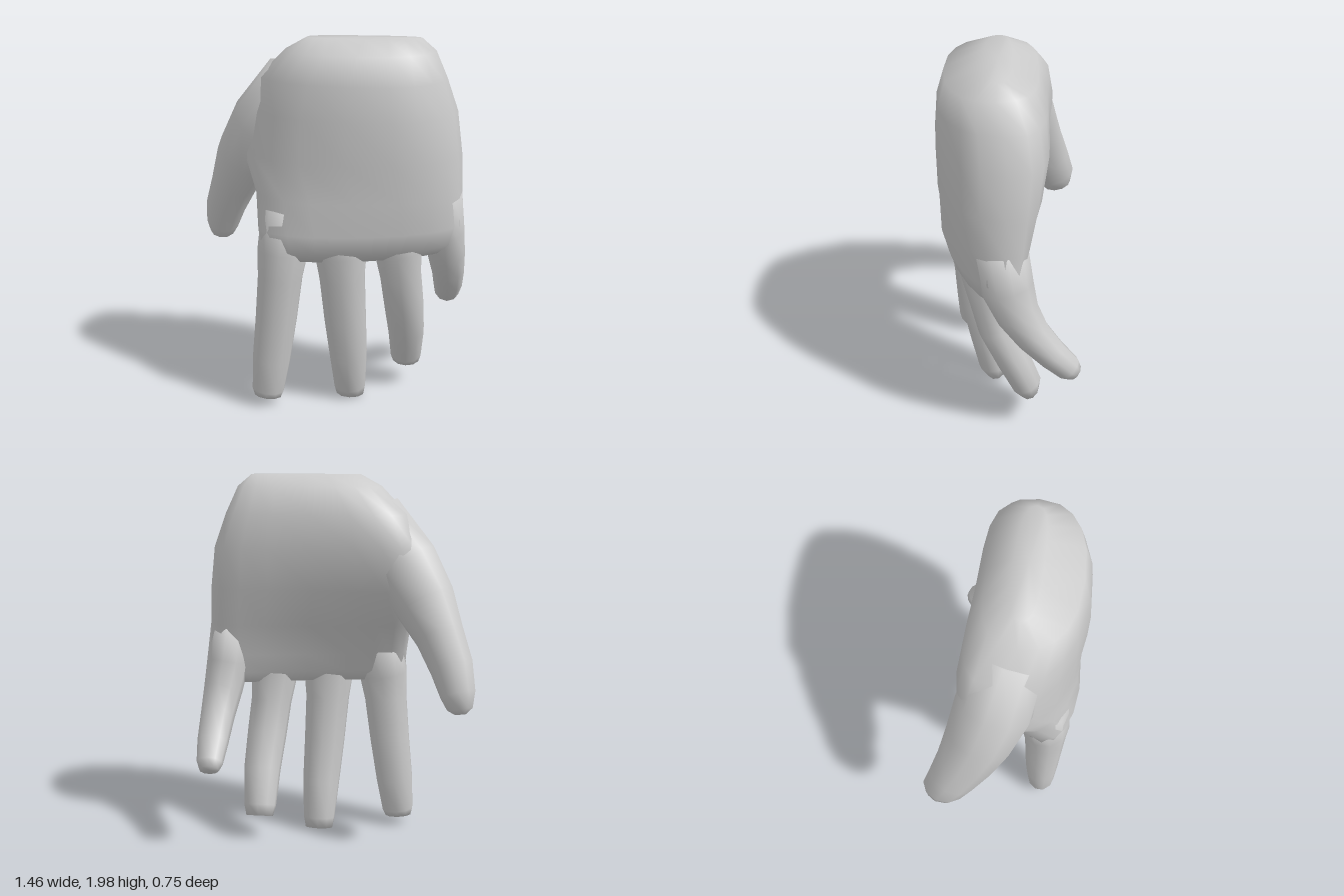
import * as THREE from 'three';

const material = new THREE.MeshStandardMaterial({ color: 0xcccccc });

// Skin a list of equal-sized rings and close both ends.
function loft(name, rings) {
  const n = rings[0].length, pos = [], idx = [];
  const add = (p) => pos.push(p.x, p.y, p.z);
  rings.forEach((r) => r.forEach(add));
  const last = (rings.length - 1) * n, start = rings.length * n, end = start + 1;
  for (const r of [rings[0], rings[rings.length - 1]]) {
    add(r.reduce((s, p) => s.add(p), new THREE.Vector3()).divideScalar(n));
  }
  for (let j = 0; j < n; j++) {
    const k = (j + 1) % n;
    for (let i = 0; i < last; i += n) {
      idx.push(i + j, i + k, i + n + j, i + k, i + n + k, i + n + j);
    }
    idx.push(start, k, j, end, last + j, last + k);
  }
  const g = new THREE.BufferGeometry();
  g.setAttribute('position', new THREE.Float32BufferAttribute(pos, 3));
  g.setIndex(idx);
  g.computeVertexNormals();
  const mesh = new THREE.Mesh(g, material);
  mesh.name = name;
  return mesh;
}

// Digit along a path; each row is x, y, z, half width, half depth.
function digit(name, rows, sides = 10) {
  const at = (i) => new THREE.Vector3(...rows[i].slice(0, 3));
  const rings = rows.map(([, , , w, d], i) => {
    const t = at(Math.min(i + 1, rows.length - 1)).sub(at(Math.max(i - 1, 0))).normalize();
    const side = new THREE.Vector3(1, 0, 0).addScaledVector(t, -t.x).normalize();
    const up = new THREE.Vector3().crossVectors(t, side);
    return Array.from({ length: sides }, (_, j) => {
      const a = ((j + 0.5) / sides) * Math.PI * 2;
      return at(i).addScaledVector(side, w * 1.04 * Math.cos(a)).addScaledVector(up, d * 1.04 * Math.sin(a));
    });
  });
  return loft(name, rings);
}

// Palm cross-section: rounded slab, tilted and bowed across its width.
function palmRing([y, xl, xr, zf, zb, tilt, bow], sides = 20) {
  const round = (v) => Math.sign(v) * Math.abs(v) ** 0.75;
  return Array.from({ length: sides }, (_, j) => {
    const a = (j / sides) * Math.PI * 2, u = round(Math.cos(a));
    const z = (zf + zb) / 2 + (zf - zb) / 2 * round(Math.sin(a)) + tilt * u - bow * u * u;
    return new THREE.Vector3((xl + xr) / 2 + (xr - xl) / 2 * u, y, z);
  });
}

export function createModel() {
  const hand = new THREE.Group();
  hand.name = 'hand';

  // Palm, from the wrist down to the knuckles: y, left x, right x, front z, back z, tilt, bow
  hand.add(loft('palm', [
    [1.99, -0.11, 0.47, 0.13, -0.01, 0, 0],
    [1.93, -0.22, 0.54, 0.32, -0.13, 0, 0.03],
    [1.79, -0.36, 0.60, 0.36, -0.18, 0.02, 0.08],
    [1.62, -0.43, 0.66, 0.375, -0.19, 0.03, 0.11],
    [1.40, -0.46, 0.69, 0.375, -0.15, 0.02, 0.11],
    [1.20, -0.38, 0.70, 0.365, -0.06, -0.04, 0.09],
    [1.03, -0.355, 0.71, 0.36, 0.02, -0.09, 0.07],
    [0.93, -0.345, 0.70, 0.33, 0.05, -0.1, 0.07],
    [0.87, -0.29, 0.63, 0.27, 0.10, -0.1, 0.06],
  ].map((row) => palmRing(row))));

  // Thumb
  hand.add(digit('thumb', [
    [-0.17, 1.76, 0.04, 0.17, 0.17],
    [-0.35, 1.52, -0.02, 0.18, 0.19],
    [-0.46, 1.34, -0.08, 0.16, 0.17],
    [-0.54, 1.18, -0.14, 0.125, 0.15],
    [-0.605, 1.03, -0.21, 0.11, 0.125],
    [-0.64, 0.90, -0.26, 0.09, 0.11],
    [-0.652, 0.83, -0.28, 0.065, 0.075],
    [-0.654, 0.805, -0.285, 0.03, 0.035],
  ]));

  // Index finger
  hand.add(digit('indexFinger', [
    [-0.20, 1.12, 0.20, 0.13, 0.13],
    [-0.225, 0.90, 0.225, 0.13, 0.125],
    [-0.24, 0.76, 0.23, 0.115, 0.11],
    [-0.265, 0.52, 0.23, 0.108, 0.10],
    [-0.295, 0.28, 0.23, 0.10, 0.09],
    [-0.315, 0.10, 0.235, 0.085, 0.075],
    [-0.318, 0.06, 0.235, 0.072, 0.05],
  ]));

  // Middle finger
  hand.add(digit('middleFinger', [
    [0.07, 1.12, 0.215, 0.13, 0.13],
    [0.08, 0.90, 0.21, 0.135, 0.125],
    [0.085, 0.76, 0.195, 0.118, 0.11],
    [0.10, 0.52, 0.175, 0.11, 0.10],
    [0.115, 0.28, 0.13, 0.10, 0.095],
    [0.122, 0.08, 0.095, 0.085, 0.085],
    [0.122, 0.02, 0.085, 0.075, 0.05],
  ]));

  // Ring finger
  hand.add(digit('ringFinger', [
    [0.36, 1.12, 0.15, 0.13, 0.13],
    [0.375, 0.90, 0.135, 0.125, 0.12],
    [0.39, 0.75, 0.11, 0.108, 0.105],
    [0.41, 0.57, 0.07, 0.105, 0.10],
    [0.425, 0.38, -0.01, 0.098, 0.09],
    [0.425, 0.20, -0.085, 0.085, 0.08],
    [0.425, 0.145, -0.105, 0.072, 0.05],
  ]));

  // Little finger
  hand.add(digit('littleFinger', [
    [0.59, 1.18, 0.05, 0.11, 0.13],
    [0.61, 0.98, 0.02, 0.11, 0.13],
    [0.63, 0.84, -0.03, 0.10, 0.11],
    [0.645, 0.71, -0.11, 0.088, 0.09],
    [0.65, 0.59, -0.21, 0.08, 0.075],
    [0.648, 0.50, -0.295, 0.067, 0.065],
    [0.645, 0.47, -0.325, 0.05, 0.045],
  ]));

  return hand;
}
